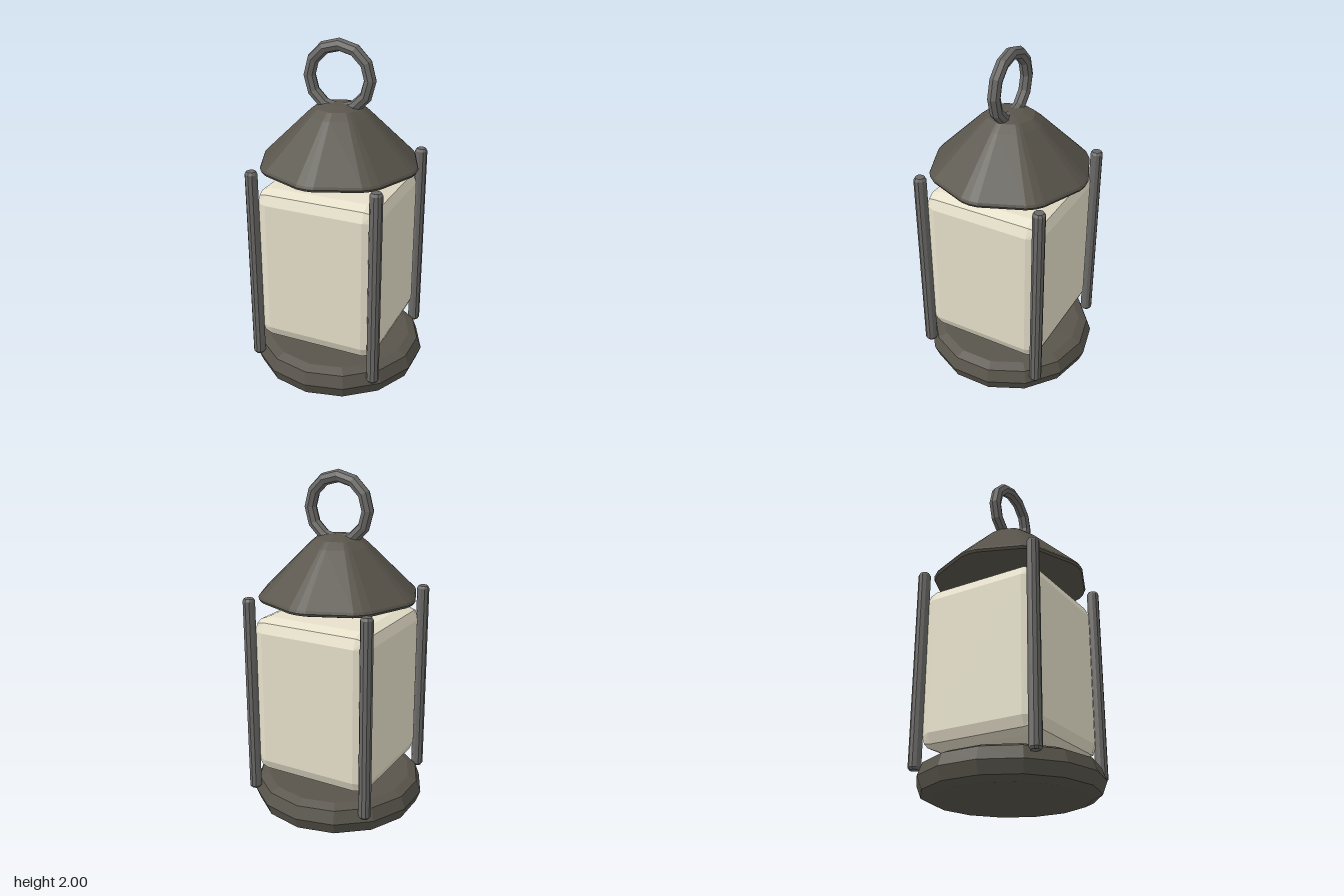
import * as THREE from 'three';
import { RoundedBoxGeometry } from 'three/addons/geometries/RoundedBoxGeometry.js';

const material = (color) => new THREE.MeshStandardMaterial({ color, flatShading: true });

// Revolved solid; profile runs from the bottom axis to the top axis.
const lathe = (profile, sides) =>
  new THREE.LatheGeometry(profile.map(([r, y]) => new THREE.Vector2(r, y)), sides);

// Octagon with softened corners: pull each triple of lathe columns towards its corner.
function softenOctagon(geometry) {
  const p = geometry.attributes.position;
  const step = Math.PI / 4;
  for (let i = 0; i < p.count; i++) {
    const r = Math.hypot(p.getX(i), p.getZ(i));
    const a = Math.atan2(p.getX(i), p.getZ(i));
    const corner = Math.round(a / step) * step;
    const d = a - corner;
    const r2 = r * (Math.abs(d) > 0.01 ? 0.992 : 1);
    const a2 = corner + d * 0.42;
    p.setX(i, r2 * Math.sin(a2));
    p.setZ(i, r2 * Math.cos(a2));
  }
  geometry.computeVertexNormals();
  return geometry;
}

export function createModel() {
  const group = new THREE.Group();
  const iron = material(0x59554c);
  const steel = material(0x6a6967);
  const glass = material(0xe6e0ca);

  const add = (name, geometry, mat, x = 0, y = 0, z = 0) => {
    const mesh = new THREE.Mesh(geometry, mat);
    mesh.name = name;
    mesh.position.set(x, y, z);
    group.add(mesh);
    return mesh;
  };

  // Rounded fourteen-sided base
  add('base', lathe([
    [0, 0], [0.435, 0], [0.488, 0.025], [0.515, 0.095],
    [0.488, 0.167], [0.435, 0.19], [0, 0.19],
  ], 14), iron);

  // Softly bevelled glowing pane block
  add('lampGlass', new RoundedBoxGeometry(0.74, 0.95, 0.74, 1, 0.08), glass, 0, 0.722, 0);

  // Four corner posts with small bevelled ends
  const post = lathe([
    [0, 0.135], [0.027, 0.135], [0.036, 0.148],
    [0.036, 1.295], [0.027, 1.31], [0, 1.31],
  ], 10);
  for (const [x, sx] of [[0.368, 'left'], [-0.368, 'right']]) {
    for (const [z, sz] of [[0.367, 'Front'], [-0.367, 'Back']]) {
      add(`${sx}${sz}Post`, post, steel, x, 0, z);
    }
  }

  // Octagonal roof with a rounded crown
  add('roof', softenOctagon(lathe([
    [0, 1.28], [0.43, 1.28], [0.455, 1.288], [0.462, 1.302], [0.455, 1.316],
    [0.18, 1.585], [0.135, 1.622], [0.07, 1.642], [0, 1.645],
  ], 24)), iron);

  // Hanging ring
  add('hangingRing', new THREE.TorusGeometry(0.18, 0.036, 8, 12), steel, 0, 1.784, 0);

  return group;
}
